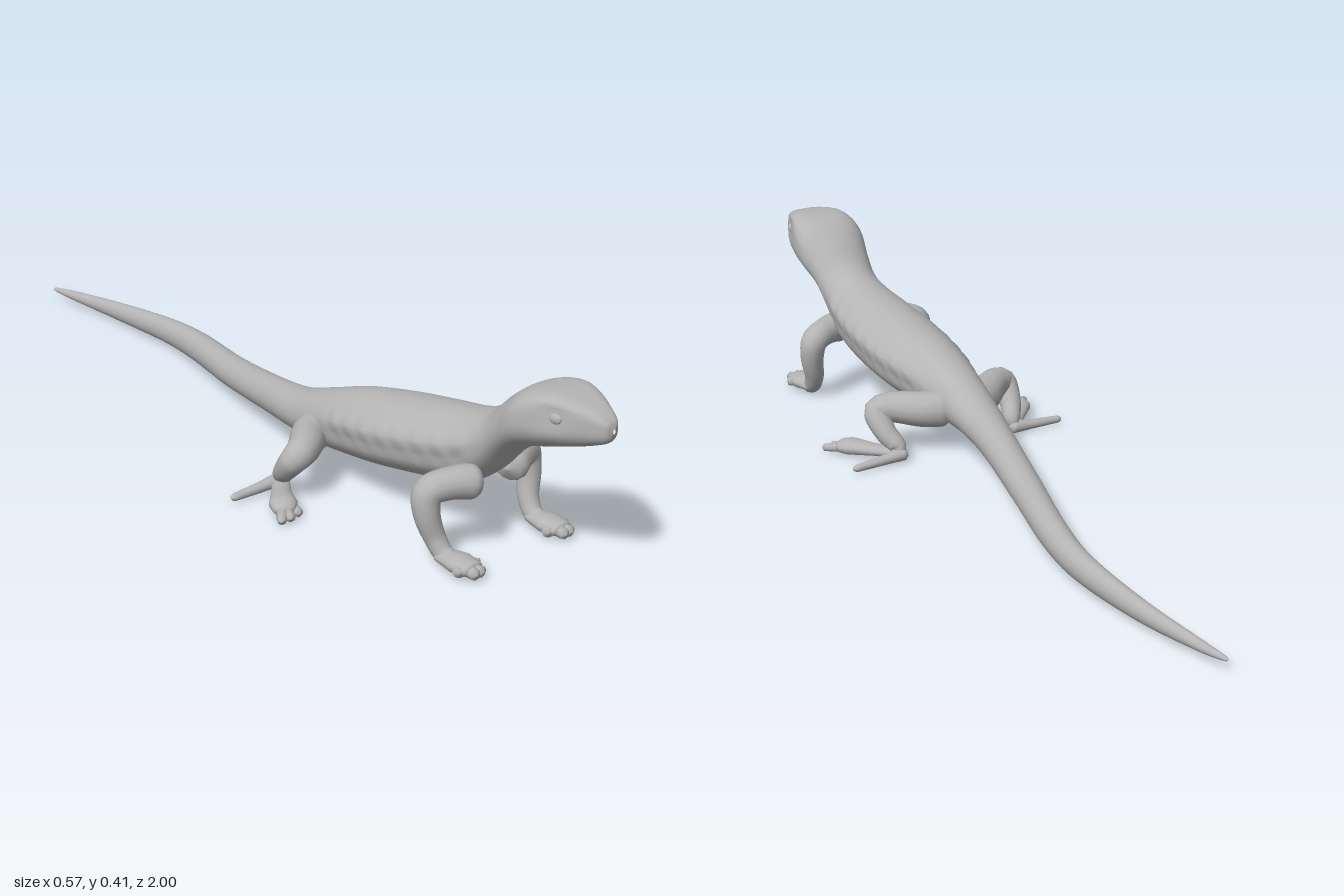
import * as THREE from 'three';
import { mergeVertices } from 'three/addons/utils/BufferGeometryUtils.js';

const skin = new THREE.MeshStandardMaterial({ color: 0xb4b4b4 });
skin.name = 'grey skin';

const V = (p) => new THREE.Vector3(...p);
const bell = (x, mid, width) => Math.exp(-(((x - mid) / width) ** 2));

function addMesh(group, name, geometry) {
  const mesh = new THREE.Mesh(geometry, skin);
  mesh.name = name;
  group.add(mesh);
  return mesh;
}

// Joins seams and gives smooth normals
function smooth(geometry) {
  geometry.deleteAttribute('uv');
  geometry.deleteAttribute('normal');
  const merged = mergeVertices(geometry, 1e-5);
  merged.computeVertexNormals();
  return merged;
}

// Head, trunk and tail stations: z, centre x, top y, bottom y, half width
const STATIONS = [
  [1.0, 0, 0.362, 0.352, 0.003], [0.992, 0, 0.378, 0.333, 0.02],
  [0.965, 0, 0.394, 0.319, 0.036], [0.92, 0, 0.407, 0.303, 0.061],
  [0.87, 0, 0.412, 0.288, 0.08], [0.81, 0, 0.4, 0.266, 0.089],
  [0.76, 0, 0.365, 0.228, 0.078], [0.71, 0, 0.318, 0.172, 0.074],
  [0.65, 0, 0.292, 0.131, 0.084], [0.55, 0, 0.273, 0.108, 0.096],
  [0.43, -0.002, 0.252, 0.088, 0.098], [0.32, -0.005, 0.229, 0.074, 0.083],
  [0.22, -0.006, 0.195, 0.066, 0.066], [0.12, 0.004, 0.16, 0.064, 0.054],
  [0, 0.03, 0.138, 0.055, 0.044], [-0.2, 0.085, 0.108, 0.035, 0.039],
  [-0.4, 0.146, 0.09, 0.02, 0.034], [-0.55, 0.174, 0.076, 0.013, 0.027],
  [-0.75, 0.177, 0.058, 0.012, 0.019], [-0.92, 0.165, 0.043, 0.019, 0.012],
  [-0.985, 0.158, 0.036, 0.025, 0.006], [-1, 0.157, 0.031, 0.03, 0.001],
];

function bodyGeometry(rings = 210, sides = 40) {
  const spine = new THREE.CatmullRomCurve3(STATIONS.map((s) => V([s[1], s[2], s[0]])), false, 'catmullrom');
  const girth = new THREE.CatmullRomCurve3(STATIONS.map((s) => V([s[3], s[4], 0])), false, 'catmullrom');
  const positions = [], index = [];
  for (let i = 0; i <= rings; i++) {
    const a = spine.getPoint(i / rings), b = girth.getPoint(i / rings);
    const z = a.z, middle = (a.y + b.x) / 2, half = Math.max(0.0005, (a.y - b.x) / 2);
    const width = Math.max(0.0005, b.y);
    const head = THREE.MathUtils.smoothstep(z, 0.74, 0.88);
    const trunk = THREE.MathUtils.smoothstep(z, 0.22, 0.34) * (1 - THREE.MathUtils.smoothstep(z, 0.64, 0.74));
    for (let j = 0; j < sides; j++) {
      const angle = (j / sides) * Math.PI * 2, c = Math.cos(angle), s = Math.sin(angle);
      // The crown of the head is flattened
      const power = s > 0 ? 1 - 0.5 * head : 1 - 0.1 * head;
      let x = Math.sign(c) * Math.abs(c) ** power * width;
      const y = middle + Math.sign(s) * Math.abs(s) ** power * half;
      // Wrinkled skin fold on the flanks, and hollows beside the eyes
      const fold = bell(s, 0.3, 0.2) - 0.6 * bell(s, -0.12, 0.15);
      x += Math.sign(c) * trunk * fold * (0.006 + 0.0025 * Math.sin(z * 125));
      x *= 1 - 0.1 * head * bell(s, 0.25, 0.3) * bell(z, 0.9, 0.04);
      positions.push(a.x + x, y, z);
      if (i < rings) {
        const p = i * sides + j, q = i * sides + ((j + 1) % sides);
        index.push(p, p + sides, q, q, p + sides, q + sides);
      }
    }
  }
  const geometry = new THREE.BufferGeometry();
  geometry.setAttribute('position', new THREE.Float32BufferAttribute(positions, 3));
  geometry.setIndex(index);
  geometry.computeVertexNormals();
  return geometry;
}

// Rounded, tapering tube; each point is x, y, z, radius
function limbGeometry(points, flatten = 1, segments = 36, sides = 14) {
  const curve = new THREE.CatmullRomCurve3(points.map(V3));
  const geometry = new THREE.TubeGeometry(curve, segments, 1, sides);
  const pos = geometry.attributes.position, v = new THREE.Vector3();
  for (let i = 0; i <= segments; i++) {
    const u = i / segments, centre = curve.getPointAt(u);
    const t = curve.getUtoTmapping(u) * (points.length - 1);
    const k = Math.min(points.length - 2, Math.floor(t));
    const r = THREE.MathUtils.lerp(points[k][3], points[k + 1][3], t - k);
    const end = Math.min(1, Math.min(u, 1 - u) / 0.1);
    const radius = r * Math.sqrt(Math.max(1e-4, 1 - (1 - end) ** 2));
    for (let j = 0; j <= sides; j++) {
      const n = i * (sides + 1) + j;
      v.fromBufferAttribute(pos, n).sub(centre).multiplyScalar(radius);
      v.y *= flatten;
      v.add(centre);
      pos.setXYZ(n, v.x, v.y, v.z);
    }
  }
  return smooth(geometry);
}
const V3 = (p) => new THREE.Vector3(p[0], p[1], p[2]);

function makeFrontLeg(side) {
  const leg = new THREE.Group();
  const left = side > 0;
  leg.name = left ? 'leftFrontLeg' : 'rightFrontLeg';
  const out = left ? 0 : 0.025;
  const X = (x) => side * (x + out);
  addMesh(leg, 'arm', limbGeometry([
    [X(0.025), 0.165, 0.71, 0.04], [X(0.085), 0.171, 0.685, 0.034],
    [X(0.132), 0.158, 0.664, 0.032], [X(0.138), 0.115, 0.668, 0.028],
    [X(0.126), 0.06, 0.682, 0.023], [X(0.121), 0.03, 0.705, 0.021],
    [X(0.12), 0.024, 0.74, 0.02],
  ]));
  addMesh(leg, 'paw', limbGeometry([
    [X(0.122), 0.028, 0.69, 0.022], [X(0.12), 0.027, 0.745, 0.034], [X(0.12), 0.026, 0.79, 0.026],
  ], 0.55));
  for (const [x, z] of [[0.088, 0.775], [0.11, 0.805], [0.13, 0.805], [0.15, 0.775]]) {
    addMesh(leg, 'toe', limbGeometry([
      [X(0.12), 0.026, 0.735, 0.016], [X(x), 0.023, z, 0.013],
    ], 0.9, 14, 8));
  }
  return leg;
}

function makeHindLeg(side) {
  const leg = new THREE.Group();
  leg.name = side > 0 ? 'leftHindLeg' : 'rightHindLeg';
  const X = (x) => side * x;
  addMesh(leg, 'thigh', limbGeometry([
    [X(0.02), 0.112, 0.21, 0.044], [X(0.08), 0.112, 0.235, 0.042],
    [X(0.14), 0.115, 0.28, 0.036], [X(0.172), 0.108, 0.292, 0.032],
    [X(0.172), 0.07, 0.26, 0.026], [X(0.156), 0.032, 0.222, 0.019],
    [X(0.17), 0.022, 0.217, 0.015],
  ]));
  // Long outer toe pointing sideways
  addMesh(leg, 'outerToe', limbGeometry([
    [X(0.14), 0.024, 0.215, 0.018], [X(0.2), 0.02, 0.214, 0.013], [X(0.285), 0.017, 0.21, 0.009],
  ], 0.9));
  addMesh(leg, 'foot', limbGeometry([
    [X(0.15), 0.024, 0.22, 0.018], [X(0.195), 0.025, 0.27, 0.022],
    [X(0.23), 0.026, 0.315, 0.031], [X(0.252), 0.022, 0.345, 0.022],
  ], 0.6));
  for (const [x, z] of [[0.223, 0.362], [0.255, 0.368], [0.28, 0.365]]) {
    addMesh(leg, 'toe', limbGeometry([
      [X(0.222), 0.024, 0.305, 0.016], [X(x), 0.017, z, 0.01],
    ], 0.9, 14, 8));
  }
  return leg;
}

export function createModel() {
  const model = new THREE.Group();
  model.name = 'lizard';
  addMesh(model, 'body', bodyGeometry());
  for (const side of [1, -1]) {
    // Eyes sit low in the sides of the head
    const eye = addMesh(model, side > 0 ? 'leftEye' : 'rightEye', new THREE.SphereGeometry(0.016, 16, 12));
    eye.position.set(side * 0.058, 0.37, 0.9);
    eye.scale.set(0.6, 0.8, 1.1);
    model.add(makeFrontLeg(side), makeHindLeg(side));
  }
  return model;
}
